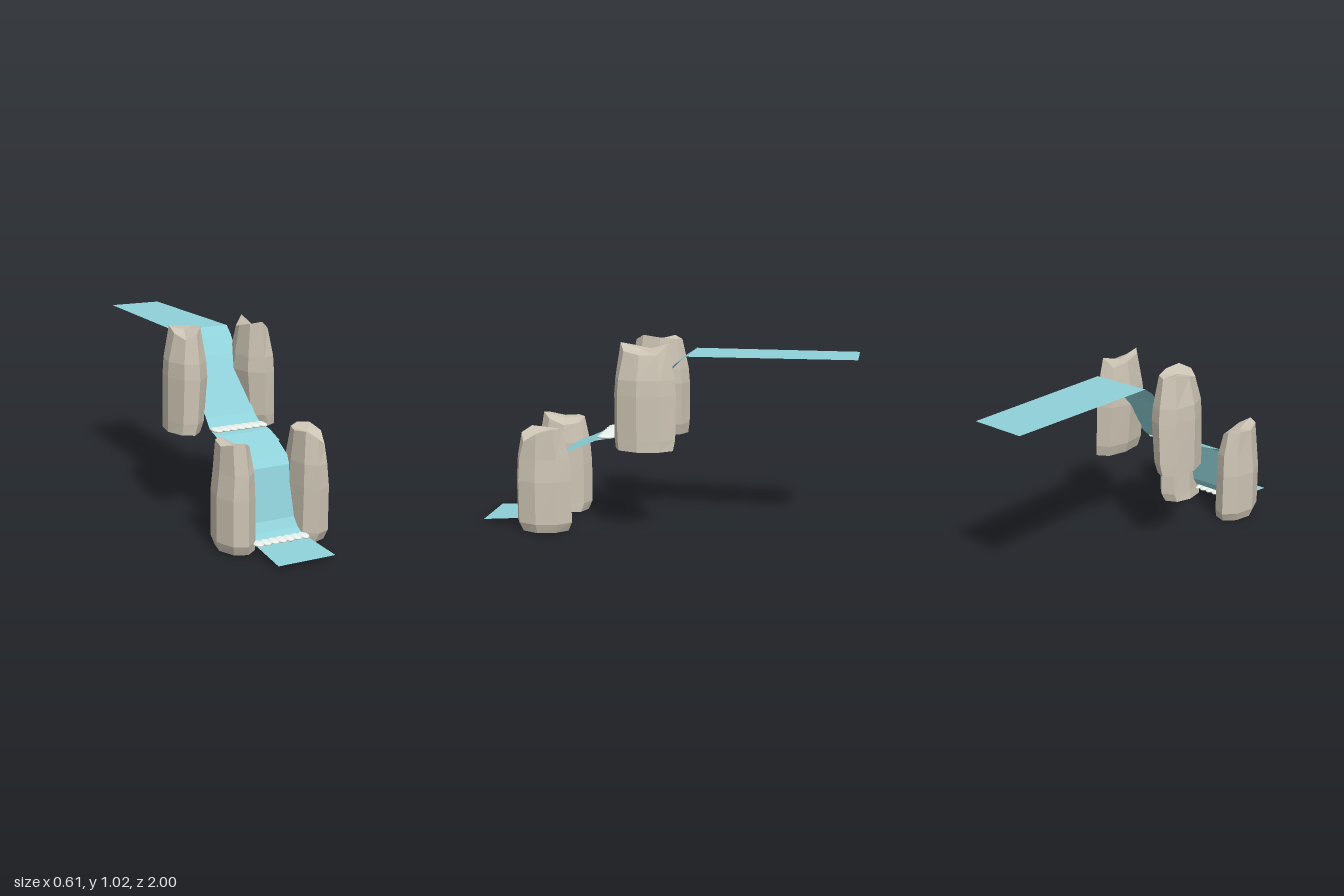
import * as THREE from 'three';

const rockMat = new THREE.MeshStandardMaterial({ color: 0xcbc3b3, flatShading: true });
const waterMat = new THREE.MeshStandardMaterial({ color: 0x8fd0d8, flatShading: true, side: THREE.DoubleSide });
const foamMat = new THREE.MeshStandardMaterial({ color: 0xe8f0ea });

function meshFrom(name, pos, idx, mat) {
  const g = new THREE.BufferGeometry();
  g.setAttribute('position', new THREE.Float32BufferAttribute(pos, 3));
  g.setIndex(idx);
  g.computeVertexNormals();
  const m = new THREE.Mesh(g, mat);
  m.name = name;
  return m;
}

// Upright boulder: eight-sided rings [y, centre x, half width, half depth], then a jagged rim
function boulder(name, side, z, rings, rim) {
  const n = rim.length, pos = [], idx = [];
  rings.forEach(([y, cx, rx, rz], r) => {
    for (let i = 0; i < n; i++) {
      const a = (i / n) * Math.PI * 2 + side * 0.12;
      const top = r === rings.length - 1;
      const j = top ? 1 : 1 + 0.03 * Math.sin(i * 2.3 + side);
      pos.push(side * cx + rx * j * Math.cos(a), top ? rim[i] : y, z + rz * j * Math.sin(a));
    }
  });
  const last = rings.length - 1, base = rings.length * n;
  const mean = rim.reduce((a, b) => a + b, 0) / n;
  pos.push(side * rings[0][1], rings[0][0], z, side * rings[last][1], mean - 0.005, z);
  for (let i = 0; i < n; i++) {
    const k = (i + 1) % n;
    for (let r = 0; r < last; r++) {
      const a = r * n + i, b = r * n + k;
      idx.push(a, a + n, b, b, a + n, b + n);
    }
    idx.push(base, i, k, base + 1, last * n + k, last * n + i);
  }
  return meshFrom(name, pos, idx, rockMat);
}

// Water ribbon through rows [z, y, half width]
function ribbon(name, rows) {
  const pos = [], idx = [];
  rows.forEach(([z, y, w], i) => {
    pos.push(-w, y, z, w, y, z);
    const a = i * 2;
    if (i < rows.length - 1) idx.push(a, a + 2, a + 1, a + 1, a + 2, a + 3);
  });
  return meshFrom(name, pos, idx, waterMat);
}

// Line of flattened foam beads at the foot of a fall
function foamLine(name, y, z) {
  const group = new THREE.Group();
  group.name = name;
  const geo = new THREE.SphereGeometry(1, 12, 8);
  for (let i = 0; i < 7; i++) {
    const bead = new THREE.Mesh(geo, foamMat);
    bead.name = 'foamBead';
    bead.scale.set(0.029, 0.011, 0.05);
    bead.position.set((i - 3) * 0.043 + 0.002, y, z);
    group.add(bead);
  }
  return group;
}

export function createModel() {
  const model = new THREE.Group();
  model.name = 'steppedWaterfall';

  // Stream: upper run, upper fall and ledge, then lower fall and outflow
  model.add(ribbon('upperWater', [
    [-1, 0.96, 0.147], [-0.13, 0.955, 0.163], [-0.07, 0.915, 0.156], [0.01, 0.83, 0.147],
    [0.22, 0.55, 0.142], [0.275, 0.505, 0.148], [0.36, 0.49, 0.157], [0.45, 0.45, 0.165],
  ]));
  model.add(ribbon('lowerWater', [
    [0.45, 0.45, 0.157], [0.55, 0.41, 0.147], [0.6, 0.37, 0.143], [0.665, 0.115, 0.14],
    [0.695, 0.07, 0.14], [0.75, 0.038, 0.144], [1, 0.02, 0.158],
  ]));
  model.add(foamLine('upperFoam', 0.508, 0.31), foamLine('lowerFoam', 0.041, 0.74));

  // Boulder pairs flanking each fall
  const upper = [
    [0.47, 0.222, 0.08, 0.155], [0.53, 0.212, 0.09, 0.165], [0.76, 0.2, 0.1, 0.167],
    [0.84, 0.2, 0.095, 0.16], [1, 0.197, 0.066, 0.127],
  ];
  const lower = [
    [0, 0.2, 0.088, 0.133], [0.05, 0.211, 0.094, 0.155], [0.28, 0.212, 0.092, 0.155],
    [0.4, 0.208, 0.083, 0.147], [0.54, 0.213, 0.07, 0.117],
  ];
  model.add(
    boulder('upperRightRock', -1, 0.085, upper, [1.01, 1.02, 0.99, 0.96, 0.985, 1.01, 0.995, 1.0]),
    boulder('upperLeftRock', 1, 0.085, upper, [0.97, 0.985, 1.025, 1.01, 0.99, 0.97, 1.025, 0.97]),
    boulder('lowerRightRock', -1, 0.637, lower, [0.5, 0.53, 0.56, 0.55, 0.53, 0.54, 0.54, 0.51]),
    boulder('lowerLeftRock', 1, 0.637, lower, [0.54, 0.49, 0.53, 0.56, 0.55, 0.55, 0.56, 0.565]),
  );
  return model;
}
